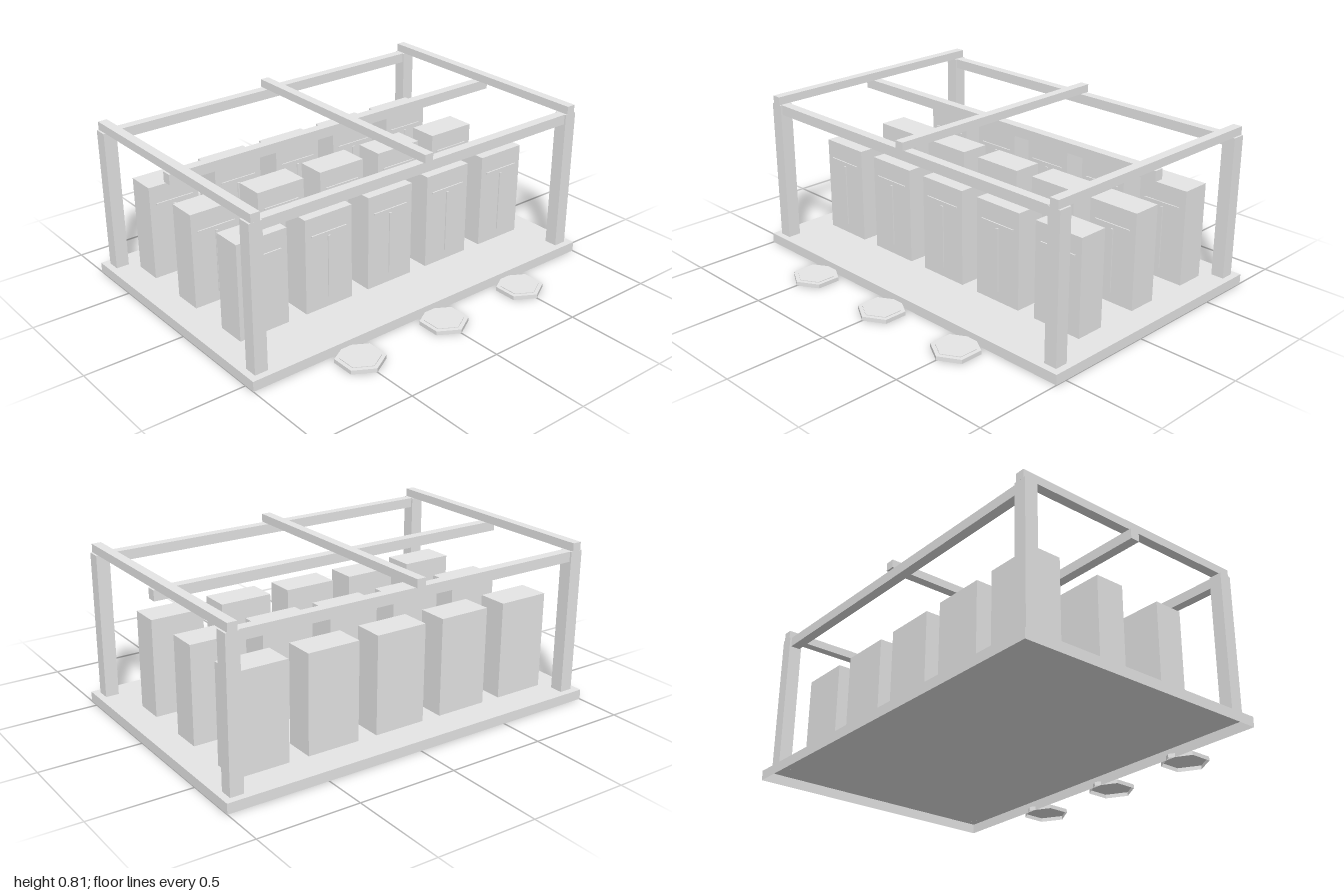
import * as THREE from 'three';

// Removes one face group of a geometry and gives the rest flat normals
function withoutGroup(geometry, groupIndex) {
  const { start, count } = geometry.groups[groupIndex];
  const kept = Array.from(geometry.index.array).filter((_, i) => i < start || i >= start + count);
  geometry.setIndex(kept);
  geometry.clearGroups();
  const flat = geometry.toNonIndexed();
  flat.computeVertexNormals();
  return flat;
}

// Box and hexagonal plate without an underside
const openBox = (w, h, d) => withoutGroup(new THREE.BoxGeometry(w, h, d), 3);
const openHexagon = (r, h) => withoutGroup(new THREE.CylinderGeometry(r, r, h, 6), 2);

export function createModel() {
  const model = new THREE.Group();
  const grey = new THREE.MeshStandardMaterial({ color: 0xe6e6e6, side: THREE.DoubleSide });
  grey.name = 'light grey';
  const midZ = -0.1083; // centre line of the floor

  const add = (parent, name, geometry, x, y, z) => {
    const mesh = new THREE.Mesh(geometry, grey);
    mesh.name = name;
    mesh.position.set(x, y, z);
    parent.add(mesh);
  };
  const box = (parent, name, w, h, d, x, y, z) =>
    add(parent, name, new THREE.BoxGeometry(w, h, d), x, y, z);

  // Floor slab, open underneath
  add(model, 'floor', openBox(2, 0.05, 1.3333), 0, 0.025, midZ);

  // Open frame: corner posts, long beams and the cross beams resting on them
  const frame = new THREE.Group();
  frame.name = 'frame';
  model.add(frame);
  for (const x of [-0.9333, 0.9333]) {
    for (const z of [-0.6, 0.6]) add(frame, 'post', openBox(0.0667, 0.7167, 0.0667), x, 0.4083, midZ + z);
  }
  for (const z of [-0.6, 0, 0.6]) box(frame, 'longBeam', 1.9333, 0.05, 0.048, 0, 0.7417, midZ + z);
  for (const x of [-0.9333, 0, 0.9333]) box(frame, 'crossBeam', 0.0467, 0.041, 1.2667, x, 0.7872, midZ);

  // Cabinets in three rows of five, each with a drawer line and a door gap
  for (let row = 0; row < 3; row++) {
    for (let i = -2; i <= 2; i++) {
      const cabinet = new THREE.Group();
      cabinet.name = 'cabinet';
      cabinet.position.set(i * 0.3667, 0.05, midZ + 0.3 - 0.3667 * row);
      model.add(cabinet);
      add(cabinet, 'cabinetBody', openBox(0.2667, 0.4833, 0.15), 0, 0.2417, 0);
      box(cabinet, 'topStrip', 0.2, 0.008, 0.008, 0, 0.39, 0.077);
      box(cabinet, 'centreStrip', 0.013, 0.32, 0.008, 0, 0.21, 0.077);
    }
  }

  // Hexagonal stepping stones along the front, each with a thin raised top
  for (const x of [-0.5, 0, 0.5]) {
    add(model, 'steppingStone', openHexagon(0.1167, 0.02), x, 0.01, midZ + 0.7667);
    add(model, 'steppingStoneTop', openHexagon(0.095, 0.0033), x, 0.0217, midZ + 0.7667);
  }
  return model;
}
